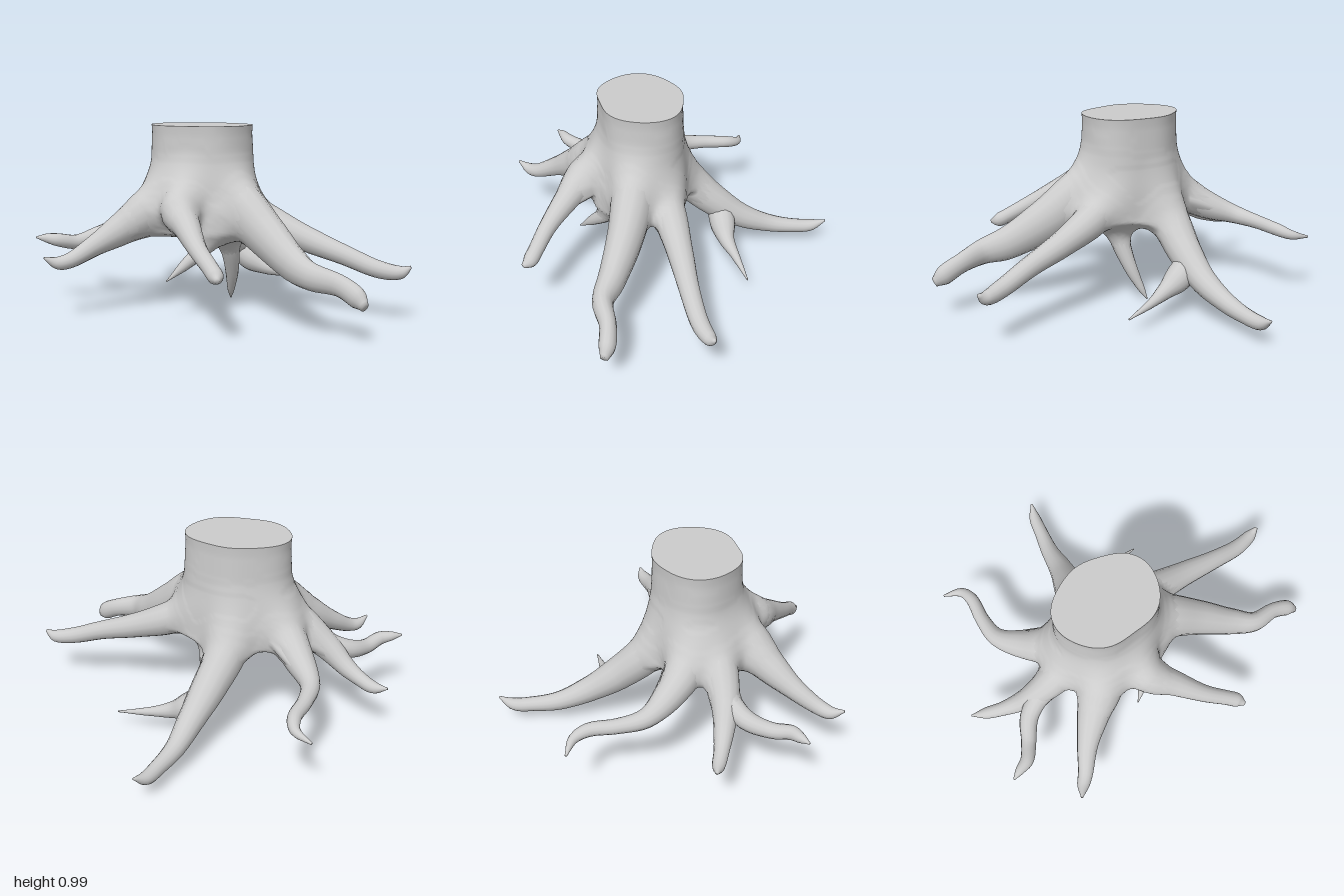
import * as THREE from 'three';

const { lerp, clamp, degToRad, smoothstep } = THREE.MathUtils;
const bark = new THREE.MeshStandardMaterial({ color: 0xcccccc });
const UP = new THREE.Vector3(0, 1, 0);

// Roots as paths of [x, y, z, radius], from inside the trunk to the tip
const roots = {
  backRoot: [
    [-0.17, 0.64, 0, 0.11], [-0.25, 0.45, -0.13, 0.105], [-0.29, 0.3, -0.29, 0.09],
    [-0.34, 0.19, -0.45, 0.068], [-0.405, 0.125, -0.6, 0.05], [-0.45, 0.105, -0.73, 0.04],
    [-0.485, 0.105, -0.83, 0.034], [-0.5, 0.145, -0.91, 0.006]],
  backRootBranch: [
    [-0.3, 0.25, -0.33, 0.075], [-0.22, 0.185, -0.37, 0.07], [-0.14, 0.145, -0.415, 0.043],
    [-0.05, 0.12, -0.485, 0.024], [0.1, 0.09, -0.59, 0.004]],
  backLeftRoot: [
    [0, 0.6, -0.03, 0.1], [0.18, 0.48, -0.17, 0.09], [0.36, 0.4, -0.28, 0.068],
    [0.55, 0.33, -0.385, 0.052], [0.7, 0.27, -0.48, 0.045], [0.78, 0.26, -0.55, 0.035],
    [0.82, 0.29, -0.585, 0.008]],
  leftRoot: [
    [0, 0.68, 0.05, 0.11], [0.2, 0.565, 0.02, 0.115], [0.4, 0.44, 0, 0.093],
    [0.6, 0.335, 0, 0.07], [0.73, 0.3, 0, 0.053], [0.85, 0.27, -0.07, 0.042],
    [0.94, 0.225, -0.098, 0.042], [0.99, 0.19, -0.1, 0.02]],
  frontLeftRoot: [
    [-0.02, 0.72, 0.17, 0.09], [0.09, 0.57, 0.33, 0.1], [0.24, 0.5, 0.38, 0.067],
    [0.4, 0.42, 0.425, 0.046], [0.52, 0.36, 0.44, 0.04], [0.58, 0.33, 0.45, 0.038],
    [0.62, 0.32, 0.47, 0.012]],
  frontRoot: [
    [-0.12, 0.7, 0.17, 0.11], [-0.15, 0.54, 0.37, 0.12], [-0.2, 0.45, 0.51, 0.085],
    [-0.24, 0.37, 0.65, 0.055], [-0.26, 0.305, 0.78, 0.04], [-0.275, 0.297, 0.84, 0.033],
    [-0.285, 0.33, 0.91, 0.006]],
  frontRightRoot: [
    [-0.2, 0.66, 0.15, 0.1], [-0.36, 0.51, 0.28, 0.095], [-0.5, 0.395, 0.355, 0.07],
    [-0.61, 0.315, 0.38, 0.05], [-0.7, 0.275, 0.395, 0.038], [-0.78, 0.258, 0.405, 0.032],
    [-0.86, 0.28, 0.42, 0.005]],
  frontRightRootBranch: [
    [-0.46, 0.42, 0.34, 0.06], [-0.54, 0.365, 0.47, 0.05], [-0.55, 0.34, 0.6, 0.04],
    [-0.56, 0.36, 0.7, 0.036], [-0.595, 0.37, 0.75, 0.026], [-0.63, 0.375, 0.8, 0.005]],
  rightRoot: [
    [-0.22, 0.68, 0.11, 0.1], [-0.4, 0.52, 0.125, 0.1], [-0.55, 0.435, 0.085, 0.078],
    [-0.7, 0.385, 0.015, 0.05], [-0.78, 0.37, -0.1, 0.038], [-0.84, 0.36, -0.23, 0.034],
    [-0.9, 0.34, -0.28, 0.025], [-1, 0.32, -0.275, 0.006]],
  tapRoot: [
    [0.02, 0.5, 0, 0.09], [0, 0.33, -0.05, 0.055], [-0.05, 0.17, -0.1, 0.036],
    [-0.1, 0.06, -0.13, 0.02], [-0.13, 0.002, -0.15, 0.003]],
  smallUnderRoot: [
    [0.14, 0.5, 0.1, 0.07], [0.12, 0.37, 0.2, 0.045], [0.09, 0.29, 0.29, 0.03],
    [0.05, 0.2, 0.39, 0.003]],
};
// Roots that are taller than wide: height over width
const tall = { leftRoot: 1.3 };

// Smooth samples along a root: centre, direction and radius
function sample(pts, perSpan) {
  const path = new THREE.CatmullRomCurve3(pts.map(p => new THREE.Vector3(p[0], p[1], p[2])));
  const size = new THREE.CatmullRomCurve3(pts.map(p => new THREE.Vector3(p[3], 0, 0)), false, 'catmullrom', 0.4);
  const n = (pts.length - 1) * perSpan;
  return Array.from({ length: n + 1 }, (_, i) => ({
    c: path.getPoint(i / n), t: path.getTangent(i / n), r: Math.max(size.getPoint(i / n).x, 0.003),
  }));
}

// Skin a list of closed rings (equal point counts) with smooth normals
function loft(name, rings) {
  const n = rings[0].length, index = [];
  for (let i = 0; i < rings.length - 1; i++) {
    for (let j = 0; j < n; j++) {
      const a = i * n + j, b = i * n + (j + 1) % n;
      index.push(a, b, a + n, b, b + n, a + n);
    }
  }
  const geo = new THREE.BufferGeometry().setFromPoints(rings.flat());
  geo.setIndex(index);
  geo.computeVertexNormals();
  const mesh = new THREE.Mesh(geo, bark);
  mesh.name = name;
  return mesh;
}

function rootMesh(name, pts, sides = 14) {
  const stretch = new THREE.Vector3(1, tall[name] ?? 1, 1);
  const rings = sample(pts, 5).map(({ c, t, r }) => {
    const side = UP.clone().cross(t).normalize(), over = t.clone().cross(side);
    return Array.from({ length: sides }, (_, j) => {
      const a = j / sides * Math.PI * 2;
      return side.clone().multiplyScalar(Math.cos(a) * r).addScaledVector(over, Math.sin(a) * r)
        .multiply(stretch).add(c);
    });
  });
  const end = pts[pts.length - 1];
  rings.push(rings[0].map(() => new THREE.Vector3(end[0], end[1], end[2]))); // closed tip
  return loft(name, rings);
}

// Trunk outline at the cut
const CX = -0.092, CZ = 0.075, TOP = 0.99, SEG = 144, RINGS = 64, REACH = 0.62;
const core = new THREE.Vector3(CX, 0.6, CZ);
const cutRadius = a => 0.26 + 0.025 * Math.cos(2 * (a + degToRad(42)))
  - 0.022 * Math.sin(a) ** 2 + 0.005 * Math.sin(5 * a);

// Distance from p to the tapering root through samples s, q times taller than wide
function rootDistance(p, { s, q }) {
  let best = Infinity;
  for (let i = 0; i < s.length - 1; i++) {
    const A = s[i].c, B = s[i + 1].c;
    const bx = B.x - A.x, by = (B.y - A.y) / q, bz = B.z - A.z;
    const px = p.x - A.x, py = (p.y - A.y) / q, pz = p.z - A.z;
    const h = clamp((px * bx + py * by + pz * bz) / (bx * bx + by * by + bz * bz), 0, 1);
    const d = Math.hypot(px - bx * h, py - by * h, pz - bz * h) - lerp(s[i].r, s[i + 1].r, h);
    best = Math.min(best, d);
  }
  return best;
}

// Trunk and roots melted together, the fillets fading out along the roots
function stumpDistance(p, limbs) {
  const x = p.x - CX, z = p.z - CZ, t = clamp((TOP - p.y) / 0.55, 0, 1);
  const wall = Math.hypot(x, z) - cutRadius(Math.atan2(z, x)) - 0.045 * t * t;
  const belly = 0.375 + 0.9 * (x * x + z * z) - p.y;
  let d = Math.max(wall, belly);
  const fade = smoothstep(p.distanceTo(core), 0.3, REACH);
  const k = lerp(0.11, 0.004, fade);
  for (const limb of limbs) {
    const e = rootDistance(p, limb), h = Math.max(k - Math.abs(d - e), 0) / k;
    d = Math.min(d, e) - h * h * k / 4;
  }
  return d + 0.006 * fade;
}

// Trunk: points pushed out from the core until they reach the bark
function trunkRings() {
  const limbs = Object.entries(roots).map(([name, pts]) => ({
    s: sample(pts, 2).filter(s => s.c.distanceTo(core) < 0.85), q: tall[name] ?? 1,
  }));
  return Array.from({ length: RINGS + 1 }, (_, i) => Array.from({ length: SEG }, (_, j) => {
    const a = j / SEG * Math.PI * 2, r0 = cutRadius(a);
    if (i === 0) return new THREE.Vector3(CX + r0 * Math.cos(a), TOP, CZ + r0 * Math.sin(a));
    const phi = lerp(Math.atan2(TOP - core.y, r0), -Math.PI / 2, i / RINGS);
    const dir = new THREE.Vector3(Math.cos(phi) * Math.cos(a), Math.sin(phi), Math.cos(phi) * Math.sin(a));
    const p = new THREE.Vector3();
    for (let r = 0.1; r < REACH;) {
      const d = stumpDistance(p.copy(core).addScaledVector(dir, r), limbs);
      if (d > -0.001) break;
      r += Math.max(-d * 0.7, 0.002);
    }
    return p;
  }));
}

export function createModel() {
  const g = new THREE.Group();
  g.name = 'treeStump';
  const rings = trunkRings();
  g.add(loft('trunk', rings));

  // Flat sawn top
  const centre = rings[0].map(() => new THREE.Vector3(CX, TOP, CZ));
  g.add(loft('cutTop', [centre, rings[0]]));

  for (const [name, pts] of Object.entries(roots)) g.add(rootMesh(name, pts));
  return g;
}
